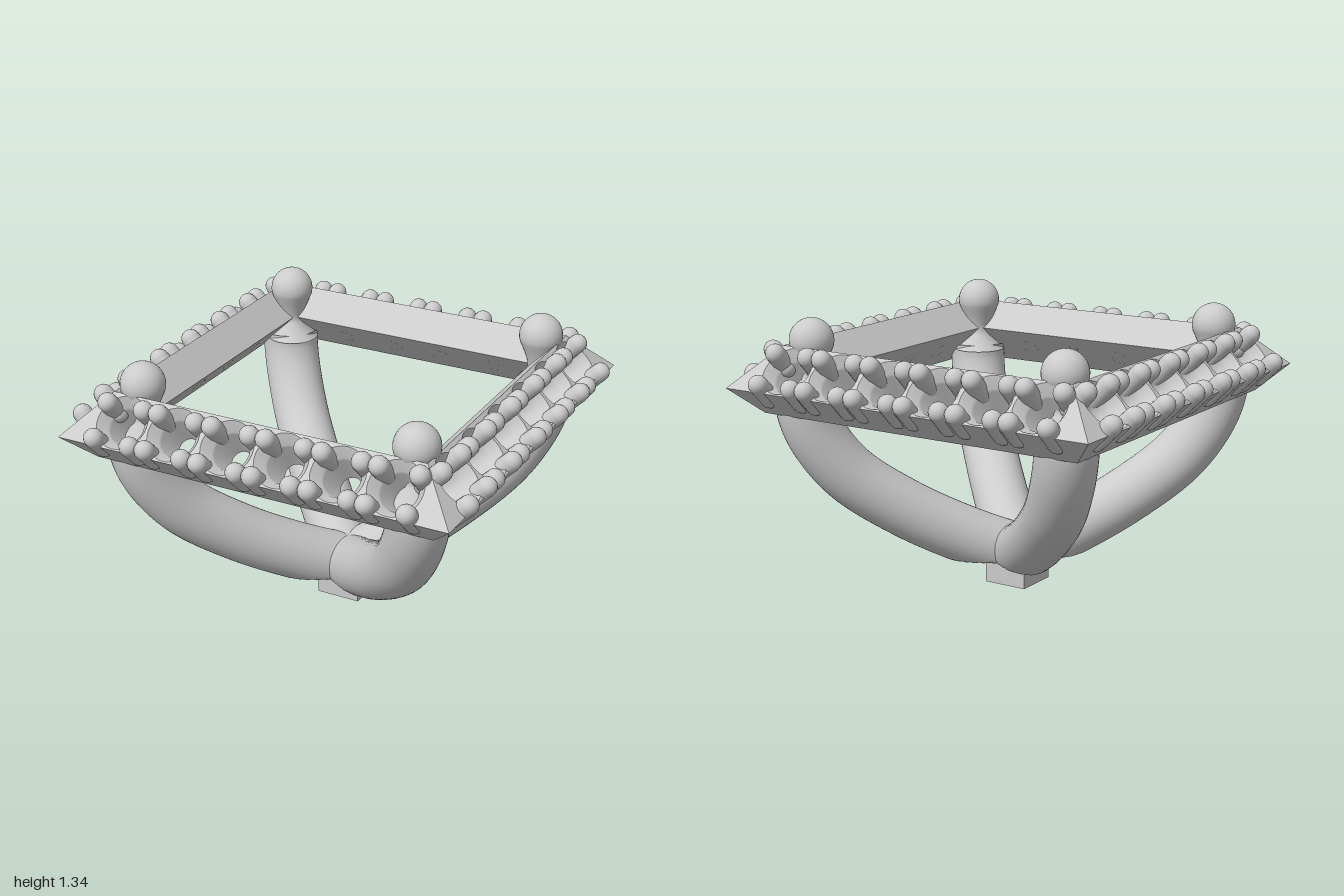
import * as THREE from 'three';

const material = new THREE.MeshStandardMaterial({ color: 0xcccccc });
const thin = new THREE.MeshStandardMaterial({ color: 0xcccccc, side: THREE.DoubleSide });

// Rail cross-section as (distance from centre, height): a tilted rectangle
const tip = [0.97, 1.02], top = [0.78, 1.21], inner = [0.655, 1.085], bottom = [0.845, 0.895];
const railDepth = 0.177;
const holeCentres = [-0.68, -0.41, -0.135, 0.135, 0.41, 0.68];

function part(name, geometry, mat = material) {
  const mesh = new THREE.Mesh(geometry, mat);
  mesh.name = name;
  return mesh;
}

// Mitred trapezoid between two section points, optionally pierced by a row of holes
function panel(name, a, b, holeRadius = 0) {
  const half = Math.hypot(b[0] - a[0], b[1] - a[1]) / 2;
  const shape = new THREE.Shape([
    new THREE.Vector2(-a[0], -half), new THREE.Vector2(a[0], -half),
    new THREE.Vector2(b[0], half), new THREE.Vector2(-b[0], half),
  ]);
  if (holeRadius) {
    for (const x of holeCentres) {
      shape.holes.push(new THREE.Path().absarc(x, 0, holeRadius, 0, Math.PI * 2, true));
    }
  }
  const along = new THREE.Vector3(1, 0, 0);
  const up = new THREE.Vector3(0, b[1] - a[1], b[0] - a[0]).normalize();
  const matrix = new THREE.Matrix4().makeBasis(along, up, along.clone().cross(up));
  matrix.setPosition(0, (a[1] + b[1]) / 2, (a[0] + b[0]) / 2);
  return part(name, new THREE.ShapeGeometry(shape, 16).applyMatrix4(matrix));
}

// Tapered seat bored through the rail, and the round-ended bead beside it
const seatGeometry = new THREE.LatheGeometry([
  new THREE.Vector2(0.05, -railDepth), new THREE.Vector2(0.085, -0.06),
  new THREE.Vector2(0.09, -0.045), new THREE.Vector2(0.128, 0),
], 32);
const beadGeometry = new THREE.CapsuleGeometry(0.046, 0.11, 5, 14).translate(0, -0.03, 0);

function rail() {
  const group = new THREE.Group();
  group.add(
    panel('outerSlope', tip, top, 0.128),
    panel('innerSlope', top, inner),
    panel('innerUnderside', inner, bottom, 0.05),
    panel('outerUnderside', bottom, tip),
  );
  // Seats and beads share a frame whose y axis is the outer slope's normal
  const setting = new THREE.Group();
  setting.name = 'setting';
  setting.position.set(0, (tip[1] + top[1]) / 2, (tip[0] + top[0]) / 2);
  setting.rotation.x = Math.PI / 4;
  for (const x of holeCentres) {
    const seat = part('seat', seatGeometry, thin);
    seat.position.x = x;
    setting.add(seat);
    for (const dx of [-0.095, 0.095]) {
      for (const dz of [-0.07, 0.106]) {
        const bead = part('bead', beadGeometry);
        bead.position.set(x + dx, 0, dz);
        setting.add(bead);
      }
    }
  }
  group.add(setting);
  return group;
}

// Curved leg running diagonally up to a corner, cut flat underneath
function legGeometry() {
  const points = [[0, 0.14], [0.18, 0.245], [0.385, 0.395], [0.575, 0.585], [0.675, 0.77], [0.71, 0.9], [0.715, 0.99]];
  const curve = new THREE.CatmullRomCurve3(points.map(([x, y]) => new THREE.Vector3(x, y, x)));
  const geometry = new THREE.TubeGeometry(curve, 64, 0.14, 40);
  const p = geometry.attributes.position;
  const n = geometry.attributes.normal;
  for (let i = 0; i < p.count; i++) {
    if (p.getY(i) < 0.13) {
      p.setY(i, 0.13);
      n.setXYZ(i, 0, -1, 0);
    }
  }
  return geometry;
}

// Corner prong: narrow neck swelling into a round head
function prongGeometry() {
  const profile = [[0.13, 0.97], [0.055, 1.05], [0.06, 1.1], [0.083, 1.16]];
  for (let i = 0; i <= 12; i++) {
    const t = -0.3 + (Math.PI / 2 + 0.3) * i / 12;
    profile.push([0.105 * Math.cos(t), 1.23 + 0.105 * Math.sin(t)]);
  }
  return new THREE.LatheGeometry(profile.map(([r, y]) => new THREE.Vector2(Math.max(r, 0), y)), 32);
}

export function createModel() {
  const model = new THREE.Group();
  model.name = 'squareSetting';

  const leg = legGeometry();
  const prong = prongGeometry();
  ['front', 'left', 'back', 'right'].forEach((side, i) => {
    const quarter = new THREE.Group();
    quarter.name = side + 'Quarter';
    quarter.rotation.y = i * Math.PI / 2;
    const sideRail = rail();
    sideRail.name = side + 'Rail';
    const cornerProng = part('cornerProng', prong, thin);
    cornerProng.position.set(0.687, 0, 0.687);
    quarter.add(sideRail, part('leg', leg, thin), cornerProng);
    model.add(quarter);
  });

  // Square foot
  const foot = part('foot', new THREE.BoxGeometry(0.22, 0.135, 0.22));
  foot.position.y = 0.0675;
  model.add(foot);
  return model;
}
